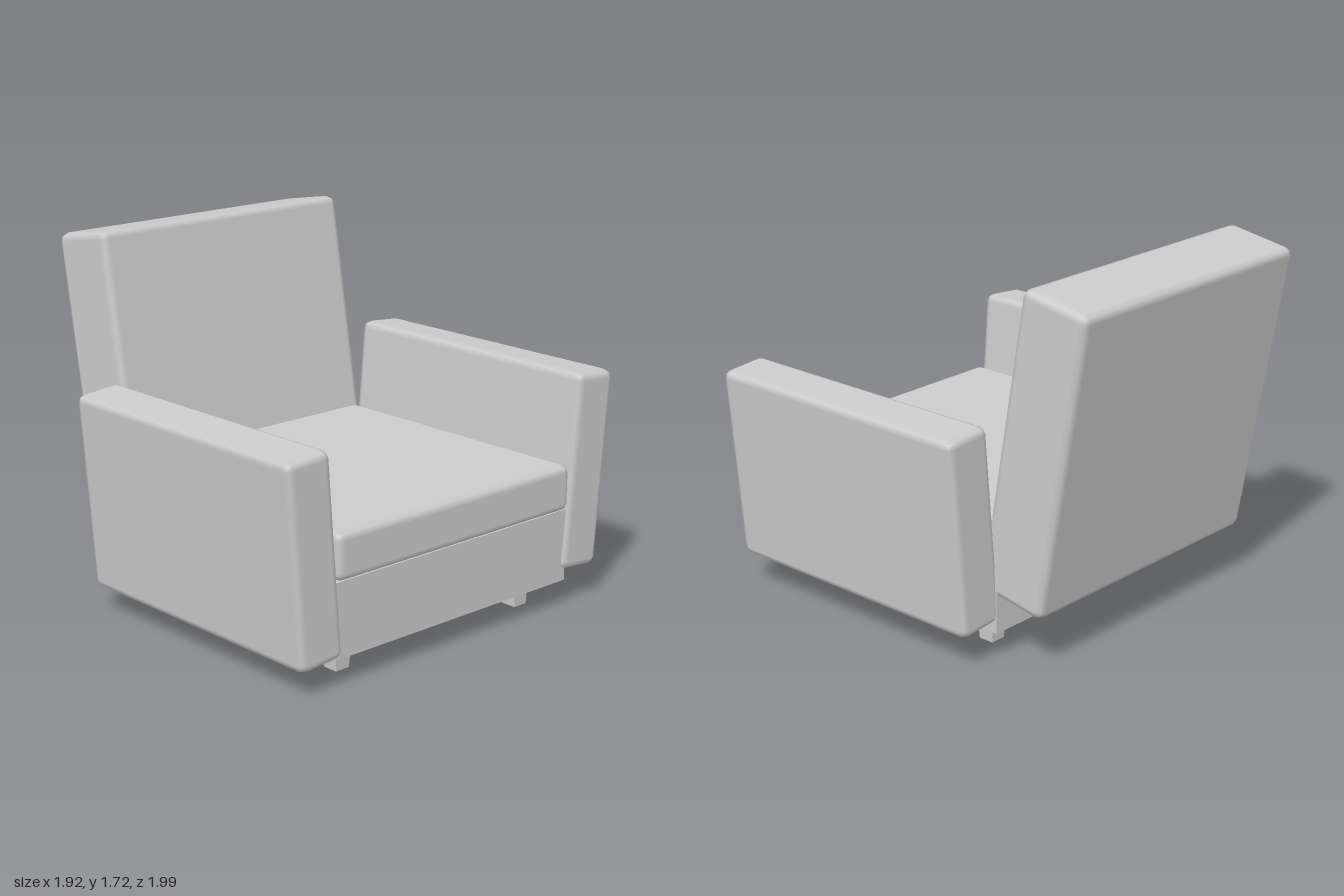
import * as THREE from 'three';
import { RoundedBoxGeometry } from 'three/addons/geometries/RoundedBoxGeometry.js';

const material = new THREE.MeshStandardMaterial({ color: 0xcccccc });

function addPart(group, name, geometry, x, y, z) {
  const mesh = new THREE.Mesh(geometry, material);
  mesh.name = name;
  mesh.position.set(x, y, z);
  group.add(mesh);
  return mesh;
}

// Upholstered block with a coarse, softly shaded bevel
const padded = (w, h, d) => new RoundedBoxGeometry(w, h, d, 1, 0.038);

export function createModel() {
  const chair = new THREE.Group();
  chair.name = 'armchair';

  // Seat: plain base with a padded cushion on top
  addPart(chair, 'seatBase', new THREE.BoxGeometry(1.415, 0.345, 1.44), 0.2325, 0.2975, 0);
  addPart(chair, 'seatCushion', padded(1.435, 0.22, 1.44), 0.2425, 0.578, 0);

  // Reclined backrest
  const back = addPart(chair, 'backrest', padded(0.355, 1.432, 1.44), -0.67, 0.99, 0);
  back.rotation.z = THREE.MathUtils.degToRad(10);

  // Armrests splay outwards; one sits slightly higher than the other
  for (const [name, side, y] of [['rightArm', 1, 0.5875], ['leftArm', -1, 0.6325]]) {
    const arm = addPart(chair, name, padded(1.435, 0.932, 0.238), 0.2425, y, side * 0.843);
    arm.rotation.x = side * THREE.MathUtils.degToRad(4.8);
  }

  // Short tapered square legs
  const leg = new THREE.CylinderGeometry(0.065, 0.054, 0.13, 4, 1).toNonIndexed();
  leg.rotateY(Math.PI / 4);
  leg.computeVertexNormals();
  for (const [xName, x] of [['front', 0.77], ['back', -0.308]]) {
    for (const [zName, z] of [['Right', 0.557], ['Left', -0.57]]) {
      addPart(chair, `${xName}${zName}Leg`, leg, x, 0.065, z);
    }
  }
  return chair;
}
